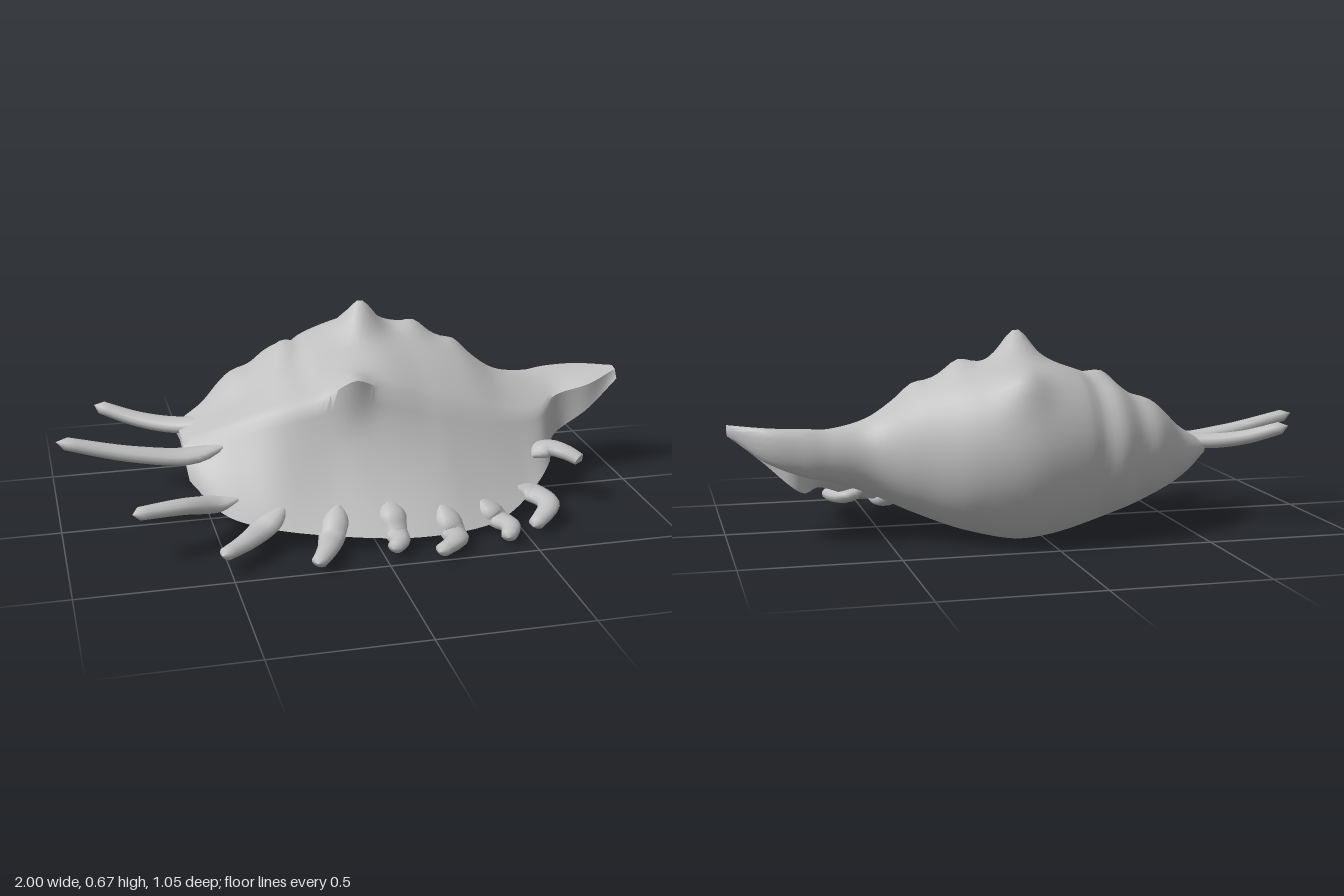
import * as THREE from 'three';
import { toCreasedNormals } from 'three/addons/utils/BufferGeometryUtils.js';

const shellGrey = new THREE.MeshStandardMaterial({ color: 0xc0c0c0, side: THREE.DoubleSide });
shellGrey.name = 'shell grey';

// Stations along x: x, body back z, body front z, bottom y, top y, shoulder z y, lip edge z y
const STATIONS = [
  [-0.58, -0.23, -0.18, 0.24, 0.28, -0.05, 0.275, 0.11, 0.19],
  [-0.50, -0.29, -0.12, 0.17, 0.33, 0.00, 0.31, 0.22, 0.12],
  [-0.42, -0.36, -0.08, 0.13, 0.405, 0.03, 0.34, 0.27, 0.09],
  [-0.25, -0.455, -0.03, 0.07, 0.49, 0.08, 0.40, 0.32, 0.06],
  [0.05, -0.53, 0.00, 0.00, 0.59, 0.11, 0.46, 0.375, 0.035],
  [0.25, -0.485, 0.00, 0.03, 0.56, 0.09, 0.395, 0.37, 0.03],
  [0.42, -0.37, -0.03, 0.09, 0.49, 0.06, 0.34, 0.32, 0.035],
  [0.55, -0.29, -0.07, 0.15, 0.40, 0.03, 0.30, 0.23, 0.07],
  [0.68, -0.275, -0.14, 0.20, 0.37, -0.02, 0.285, 0.09, 0.13],
  [0.76, -0.27, -0.18, 0.22, 0.375, -0.09, 0.31, -0.10, 0.15],
  [0.88, -0.24, -0.19, 0.27, 0.38, -0.08, 0.345, -0.08, 0.25],
  [0.995, -0.16, -0.14, 0.35, 0.385, -0.12, 0.38, -0.10, 0.35],
];

// Knobs and one hollow: centre x y z, radius, push x y z
const KNOBS = [
  [0.07, 0.59, -0.215, 0.065, 0, 0.09, 0.01],
  [-0.03, 0.46, 0.10, 0.065, 0, 0.05, 0.035],
  [0.27, 0.55, -0.24, 0.05, 0, 0.03, 0],
  [0.10, 0.50, -0.45, 0.07, 0, 0.03, -0.02],
  [-0.19, 0.51, -0.23, 0.05, 0, 0.03, 0],
  [0.41, 0.48, -0.22, 0.04, 0, 0.02, 0],
  [-0.38, 0.38, -0.12, 0.08, 0, -0.035, 0],
];

// Smooth interpolation between the stations
function stationAt(x) {
  const last = STATIONS.length - 1;
  let i = 0;
  while (i < last - 1 && STATIONS[i + 1][0] < x) i++;
  const at = k => STATIONS[Math.max(0, Math.min(last, k))];
  const [s0, s1, s2, s3] = [at(i - 1), at(i), at(i + 1), at(i + 2)];
  const span = s2[0] - s1[0], f = (x - s1[0]) / span, f2 = f * f, f3 = f2 * f;
  return s1.map((p1, c) => {
    if (c === 0) return x;
    const m1 = (s2[c] - s0[c]) / (s2[0] - s0[0]) * span;
    const m2 = (s3[c] - p1) / (s3[0] - s1[0]) * span;
    return (2 * f3 - 3 * f2 + 1) * p1 + (f3 - 2 * f2 + f) * m1 + (3 * f2 - 2 * f3) * s2[c] + (f3 - f2) * m2;
  });
}

// Point on the flaring lip, u from shoulder to edge; steepest below the shoulder knob
function lipPoint([x, , , , , sz, sy, ez, ey], u) {
  const b = 2 * u * (1 - u), c = u * u;
  const bend = 0.25 + 0.23 * THREE.MathUtils.smoothstep(Math.abs(x + 0.03), 0.06, 0.32);
  return [x, sy + (ey - sy) * (b * 0.6 + c), sz + (ez - sz) * (b * bend + c)];
}

// Closed cross-section: round body, shoulder, flaring lip, then back under it
function crossSection(station) {
  const [x, zb, zf, yb, yt, sz, sy, , ey] = station;
  const points = [], cz = (zb + zf) / 2, cy = (yb + yt) / 2;
  // stepped whorls toward the spire end
  const whorl = x < -0.12 && x > -0.57 ? 1 + 0.04 * Math.sin((x + 0.12) * 42) : 1;
  for (let k = 0; k <= 30; k++) {
    const a = -k / 30 * Math.PI * 1.5, w = k > 13 ? whorl : 1;
    points.push([cz + (zf - zb) / 2 * Math.cos(a) * w, cy + (yt - yb) / 2 * Math.sin(a) * w]);
  }
  const crest = points[30][1];
  for (let k = 1; k < 9; k++) {
    const u = k / 9;
    points.push([cz + (sz - cz) * u, crest + (sy - crest) * Math.pow(u, 1.35)]);
  }
  for (let k = 0; k <= 9; k++) {
    const [, y, z] = lipPoint(station, k / 9);
    points.push([z, y]);
  }
  const thick = 0.11 * (sy - ey);
  for (let k = 9; k >= 0; k--) {
    const [, y, z] = lipPoint(station, k / 9), d = thick * (1 - 0.6 * k / 9);
    points.push([z - d, y - d * (k === 9 ? 0.3 : 0.9)]);
  }
  points.push([zf + 0.2 * (sz - zf), (cy + sy - thick) / 2 + 0.01]);
  return points.map(([z, y]) => {
    const p = new THREE.Vector3(x, y, z);
    for (const [kx, ky, kz, r, dx, dy, dz] of KNOBS) {
      const q = Math.exp(-((x - kx) ** 2 + (y - ky) ** 2 + (z - kz) ** 2) / (r * r));
      p.add(new THREE.Vector3(dx, dy, dz).multiplyScalar(q));
    }
    return p;
  });
}

function shellGeometry() {
  const rows = 76, positions = [], index = [];
  const x0 = STATIONS[0][0], x1 = STATIONS[STATIONS.length - 1][0];
  let n = 0;
  for (let i = 0; i <= rows; i++) {
    const ring = crossSection(stationAt(x0 + (x1 - x0) * i / rows));
    n = ring.length;
    ring.forEach(p => positions.push(p.x, Math.max(0, p.y), p.z));
  }
  for (let i = 0; i < rows; i++) {
    for (let j = 0; j < n; j++) {
      const a = i * n + j, b = i * n + (j + 1) % n;
      index.push(a, b, a + n, b, b + n, a + n);
    }
  }
  // close both ends
  for (const row of [0, rows]) {
    const c = positions.length / 3, mid = [0, 0, 0];
    for (let j = 0; j < n; j++) for (let k = 0; k < 3; k++) mid[k] += positions[(row * n + j) * 3 + k] / n;
    positions.push(...mid);
    for (let j = 0; j < n; j++) {
      const a = row * n + j, b = row * n + (j + 1) % n;
      if (row) index.push(c, a, b); else index.push(c, b, a);
    }
  }
  const g = new THREE.BufferGeometry();
  g.setAttribute('position', new THREE.Float32BufferAttribute(positions, 3));
  g.setIndex(index);
  return toCreasedNormals(g, 1.0);
}

// Fingers: each path starts inside the lip near its edge and leaves it toward the tip
const lip = (x, u) => {
  const [px, y, z] = lipPoint(stationAt(x), u);
  return [px, y - 0.012, z - 0.008];
};
const FINGERS = [
  [[-0.42, 0.32, -0.10], [-0.56, 0.28, -0.18], [-0.70, 0.29, -0.24], [-0.85, 0.335, -0.30]],
  [[-0.42, 0.29, 0.04], [-0.56, 0.25, 0.035], [-0.75, 0.27, 0.03], [-1.00, 0.33, 0.015]],
  [lip(-0.40, 0.65), lip(-0.50, 0.85), [-0.63, 0.165, 0.255], [-0.79, 0.175, 0.305]],
  [lip(-0.28, 0.7), lip(-0.36, 0.95), [-0.44, 0.07, 0.365], [-0.53, 0.07, 0.45]],
  [lip(-0.11, 0.7), lip(-0.15, 0.97), [-0.19, 0.045, 0.43], [-0.24, 0.04, 0.515]],
  [lip(0.05, 0.7), lip(0.06, 0.95), [0.055, 0.04, 0.41], [0.02, 0.035, 0.455]],
  [lip(0.22, 0.7), lip(0.25, 0.97), [0.24, 0.035, 0.43], [0.16, 0.03, 0.50]],
  [lip(0.36, 0.7), lip(0.42, 0.95), [0.44, 0.04, 0.38], [0.41, 0.03, 0.45]],
  [lip(0.50, 0.7), lip(0.57, 0.95), [0.605, 0.065, 0.29], [0.52, 0.03, 0.385]],
  [lip(0.60, 0.55), [0.67, 0.185, 0.09], [0.72, 0.18, 0.13], [0.765, 0.16, 0.175]],
];

function fingerGeometry(path) {
  const curve = new THREE.CatmullRomCurve3(path.map(p => new THREE.Vector3(...p)));
  const segments = 18, sides = 12;
  const g = new THREE.TubeGeometry(curve, segments, 0.065, sides, false);
  const pos = g.attributes.position, p = new THREE.Vector3();
  for (let i = 0; i <= segments; i++) {
    const u = i / segments, centre = curve.getPointAt(u);
    const swell = Math.sin(Math.min(1, u / 0.3) * Math.PI / 2);
    const taper = i === segments ? 0 : swell * (1 - 0.62 * Math.pow(u, 0.8));
    // broad flat web at the root, rounder toward the tip
    const flat = 0.4 + 0.4 * u;
    for (let j = 0; j <= sides; j++) {
      const v = i * (sides + 1) + j;
      p.fromBufferAttribute(pos, v).sub(centre).multiplyScalar(taper);
      p.y *= flat;
      p.add(centre);
      pos.setXYZ(v, p.x, Math.max(0.005, p.y), p.z);
    }
  }
  return toCreasedNormals(g, 1.0);
}

export function createModel() {
  const model = new THREE.Group();
  model.name = 'seashell';
  const add = (geometry, name) => {
    const mesh = new THREE.Mesh(geometry, shellGrey);
    mesh.name = name;
    model.add(mesh);
  };
  add(shellGeometry(), 'bodyAndLip');
  FINGERS.forEach((f, i) => add(fingerGeometry(f), 'lipFinger' + (i + 1)));
  return model;
}
